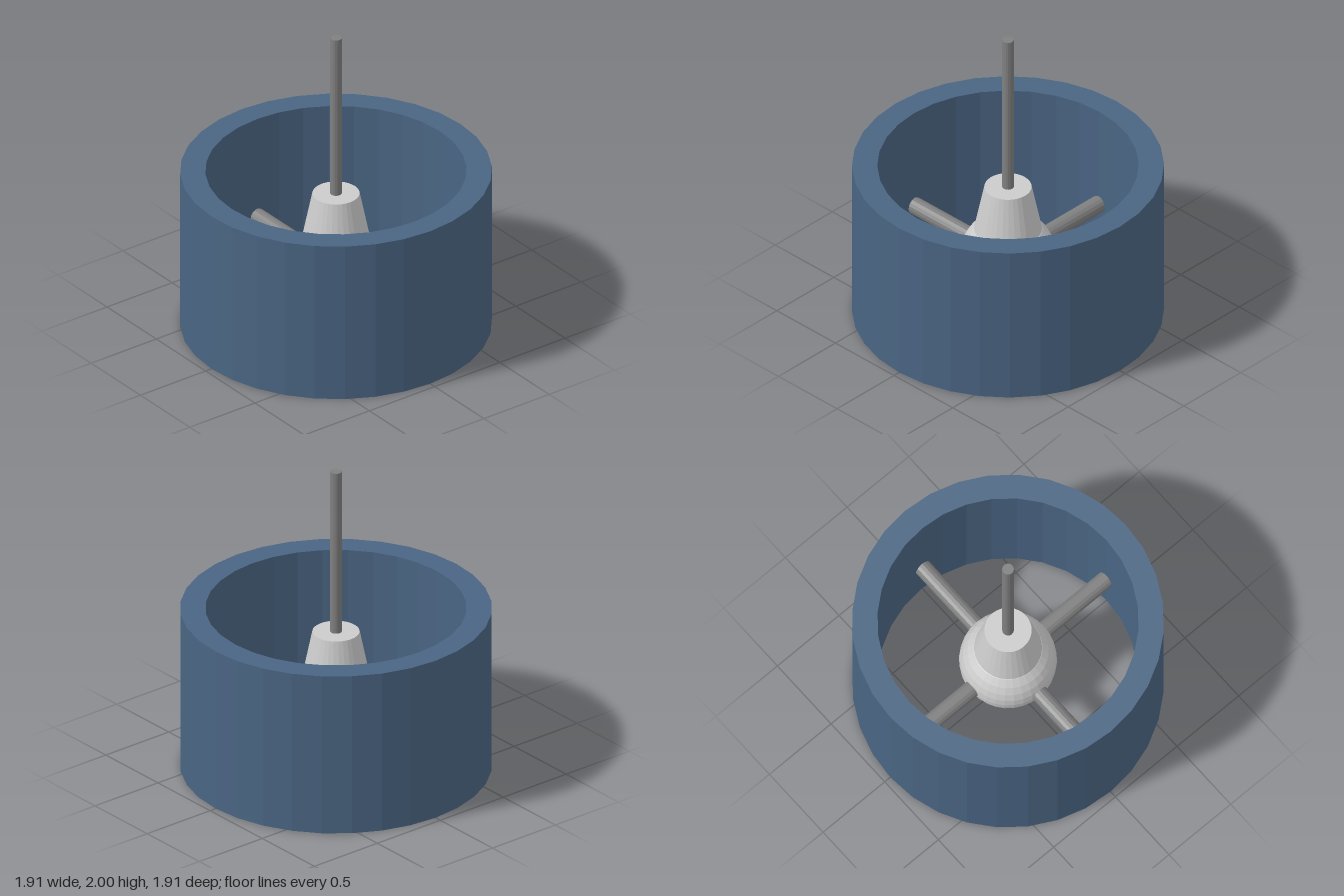
import * as THREE from 'three';

const paint = (color) => new THREE.MeshStandardMaterial({ color, flatShading: true });

export function createModel() {
  const model = new THREE.Group();
  const blue = paint(0x4a6583);
  const silver = paint(0xcccccc);
  const steel = paint(0x808080);

  const add = (name, geometry, material, y) => {
    const mesh = new THREE.Mesh(geometry, material);
    mesh.name = name;
    mesh.position.y = y;
    model.add(mesh);
    return mesh;
  };

  // Open duct ring: closed rectangular section turned about the axis
  const outer = 0.955, inner = 0.8, height = 1.07;
  const section = [[outer, 0], [outer, height], [inner, height], [inner, 0], [outer, 0]]
    .map(([r, y]) => new THREE.Vector2(r, y));
  add('ductRing', new THREE.LatheGeometry(section, 32), blue, 0);

  // Hub ball with a tapered collar on top
  const hubY = 0.385;
  add('hubBall', new THREE.SphereGeometry(0.3, 32, 16), silver, hubY);
  const collarBottom = 0.59, collarTop = 0.91;
  add('hubCollar', new THREE.CylinderGeometry(0.145, 0.21, collarTop - collarBottom, 32),
    silver, (collarBottom + collarTop) / 2);

  // Upright shaft
  const shaftBottom = 0.86;
  add('shaft', new THREE.CylinderGeometry(0.036, 0.036, 2 - shaftBottom, 16),
    steel, (2 + shaftBottom) / 2);

  // Four spokes from the hub to the inside of the ring
  const spokeStart = 0.2;
  const spokeGeometry = new THREE.CylinderGeometry(0.055, 0.055, inner - spokeStart, 16);
  spokeGeometry.rotateZ(-Math.PI / 2);
  spokeGeometry.translate((inner + spokeStart) / 2, 0, 0);
  for (let i = 0; i < 4; i++) {
    add('spoke' + (i + 1), spokeGeometry, steel, hubY).rotation.y = i * Math.PI / 2;
  }

  return model;
}
